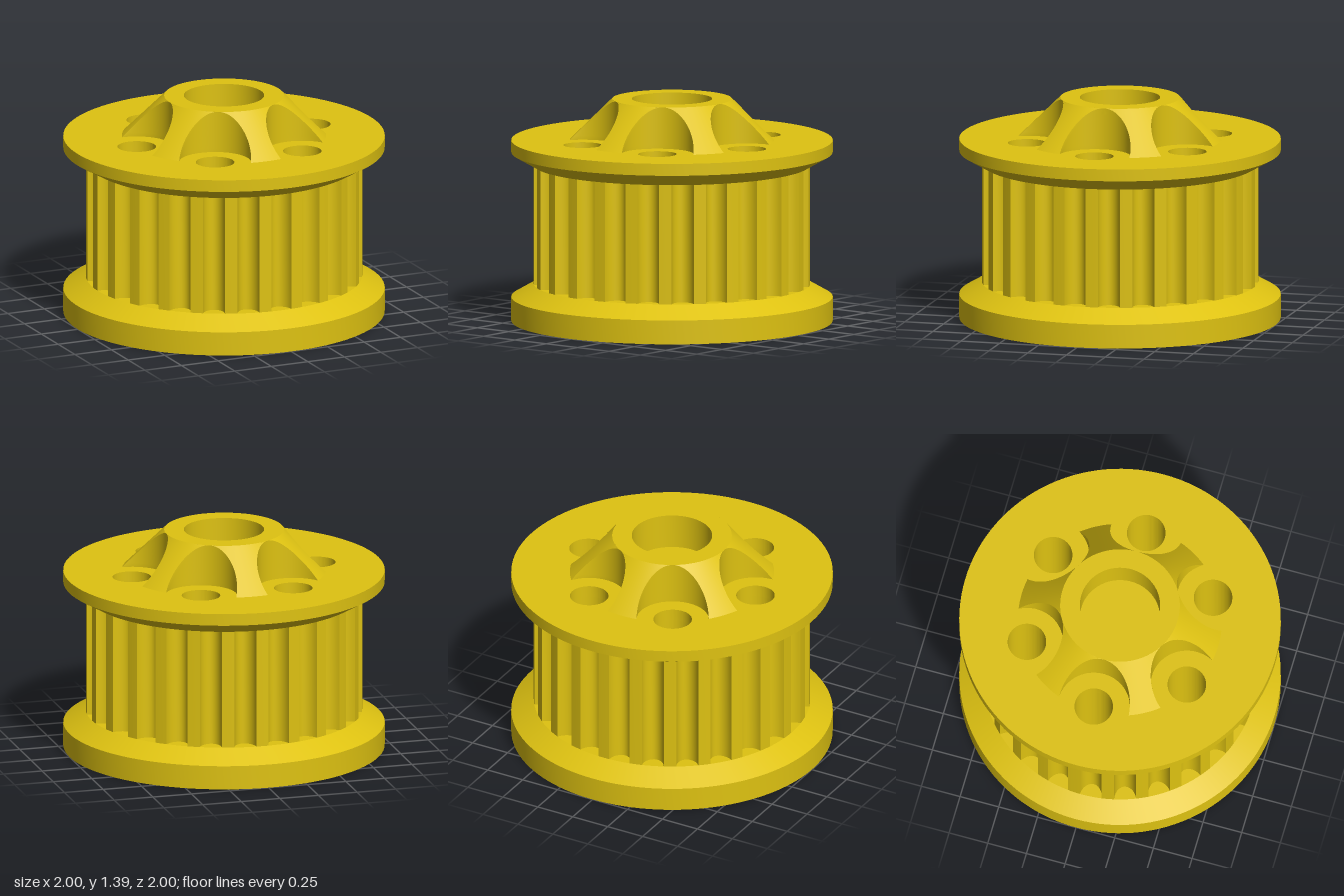
import * as THREE from 'three';
import { toCreasedNormals } from 'three/addons/utils/BufferGeometryUtils.js';

const TEETH = 25, HOLES = 6;
const HOLE_RING = 0.597, HOLE_R = 0.12, NOTCH_R = 0.225;
const BARREL_R = 0.86, HUB_TOP_R = 0.372, HUB_BOTTOM_R = 0.635;

export function createModel() {
  const group = new THREE.Group();
  const yellow = new THREE.MeshStandardMaterial({ color: 0xdec211 });
  yellow.name = 'yellow';

  const add = (name, geometry) => {
    const mesh = new THREE.Mesh(toCreasedNormals(geometry, 0.5), yellow);
    mesh.name = name;
    group.add(mesh);
  };

  // Vertical prism from a plan outline, pierced by the ring of holes
  const plate = (name, shape, y0, y1) => {
    for (let i = 0; i < HOLES; i++) {
      const a = (i / HOLES) * Math.PI * 2;
      const hole = new THREE.Path();
      hole.absarc(HOLE_RING * Math.cos(a), HOLE_RING * Math.sin(a), HOLE_R, 0, Math.PI * 2, true);
      shape.holes.push(hole);
    }
    const g = new THREE.ExtrudeGeometry(shape, { depth: y1 - y0, bevelEnabled: false, curveSegments: 48 });
    g.rotateX(-Math.PI / 2);
    g.translate(0, y0, 0);
    add(name, g);
  };

  const disc = () => {
    const points = [];
    for (let i = 0; i < 120; i++) {
      const a = (i / 120) * Math.PI * 2;
      points.push(new THREE.Vector2(Math.cos(a), Math.sin(a)));
    }
    return new THREE.Shape(points);
  };

  const lathe = (name, profile) =>
    add(name, new THREE.LatheGeometry(profile.map(([r, y]) => new THREE.Vector2(r, y)), 120));

  // Flanges and their sloping inner rims
  plate('bottomFlange', disc(), 0, 0.15);
  plate('topFlange', disc(), 1.06, 1.135);
  lathe('bottomRim', [[1, 0.15], [BARREL_R, 0.23], [0.74, 0.23]]);
  lathe('topRim', [[0.74, 0.98], [BARREL_R, 0.98], [1, 1.06]]);

  // Toothed barrel: round grooves between narrow lands
  const outline = [];
  const pitch = (Math.PI * 2) / TEETH, half = pitch * 0.32;
  for (let i = 0; i < TEETH; i++) {
    const centre = -Math.PI / 2 + i * pitch;
    for (let k = 0; k <= 12; k++) {
      const t = (k / 12) * Math.PI;
      const a = centre - half * Math.cos(t);
      const r = BARREL_R - 0.085 * Math.sin(t);
      outline.push(new THREE.Vector2(r * Math.cos(a), r * Math.sin(a)));
    }
    const land = centre + pitch / 2;
    outline.push(new THREE.Vector2(BARREL_R * Math.cos(land), BARREL_R * Math.sin(land)));
  }
  plate('toothedBarrel', new THREE.Shape(outline), 0.15, 1.06);

  // Conical hub with a vertical round notch beside each hole
  add('notchedHub', hubGeometry(1.135, 1.395));
  lathe('hubBore', [[HUB_TOP_R, 1.395], [0.25, 1.395], [0.25, 1.17], [0, 1.17]]);

  return group;
}

// Cross-section of the hub where the cone has radius R
function hubSection(R, y) {
  const points = [];
  const c = (HOLE_RING ** 2 + NOTCH_R ** 2 - R * R) / (2 * HOLE_RING * NOTCH_R);
  const beta = Math.acos(Math.min(1, Math.max(-1, c)));
  const edge = Math.atan2(NOTCH_R * Math.sin(beta), HOLE_RING - NOTCH_R * Math.cos(beta));
  const sector = (Math.PI * 2) / HOLES;
  for (let i = 0; i < HOLES; i++) {
    const push = (r, a) => points.push([r * Math.cos(a + i * sector), y, -r * Math.sin(a + i * sector)]);
    for (let k = 0; k <= 20; k++) {
      const b = beta * (k / 10 - 1);
      const u = HOLE_RING - NOTCH_R * Math.cos(b), v = NOTCH_R * Math.sin(b);
      push(Math.hypot(u, v), Math.atan2(v, u));
    }
    for (let k = 1; k < 10; k++) push(R, edge + (sector - 2 * edge) * (k / 10));
  }
  return points;
}

function hubGeometry(y0, y1) {
  const rows = 20, positions = [], index = [];
  let count = 0;
  for (let i = 0; i <= rows; i++) {
    const s = (1 - i / rows) ** 2;
    const section = hubSection(HUB_TOP_R + (HUB_BOTTOM_R - HUB_TOP_R) * s, y1 + (y0 - y1) * s);
    count = section.length;
    positions.push(...section.flat());
  }
  for (let i = 0; i < rows; i++) {
    for (let j = 0; j < count; j++) {
      const a = i * count + j, b = i * count + ((j + 1) % count);
      index.push(a, b, b + count, a, b + count, a + count);
    }
  }
  const g = new THREE.BufferGeometry();
  g.setAttribute('position', new THREE.Float32BufferAttribute(positions, 3));
  g.setIndex(index);
  return g;
}
